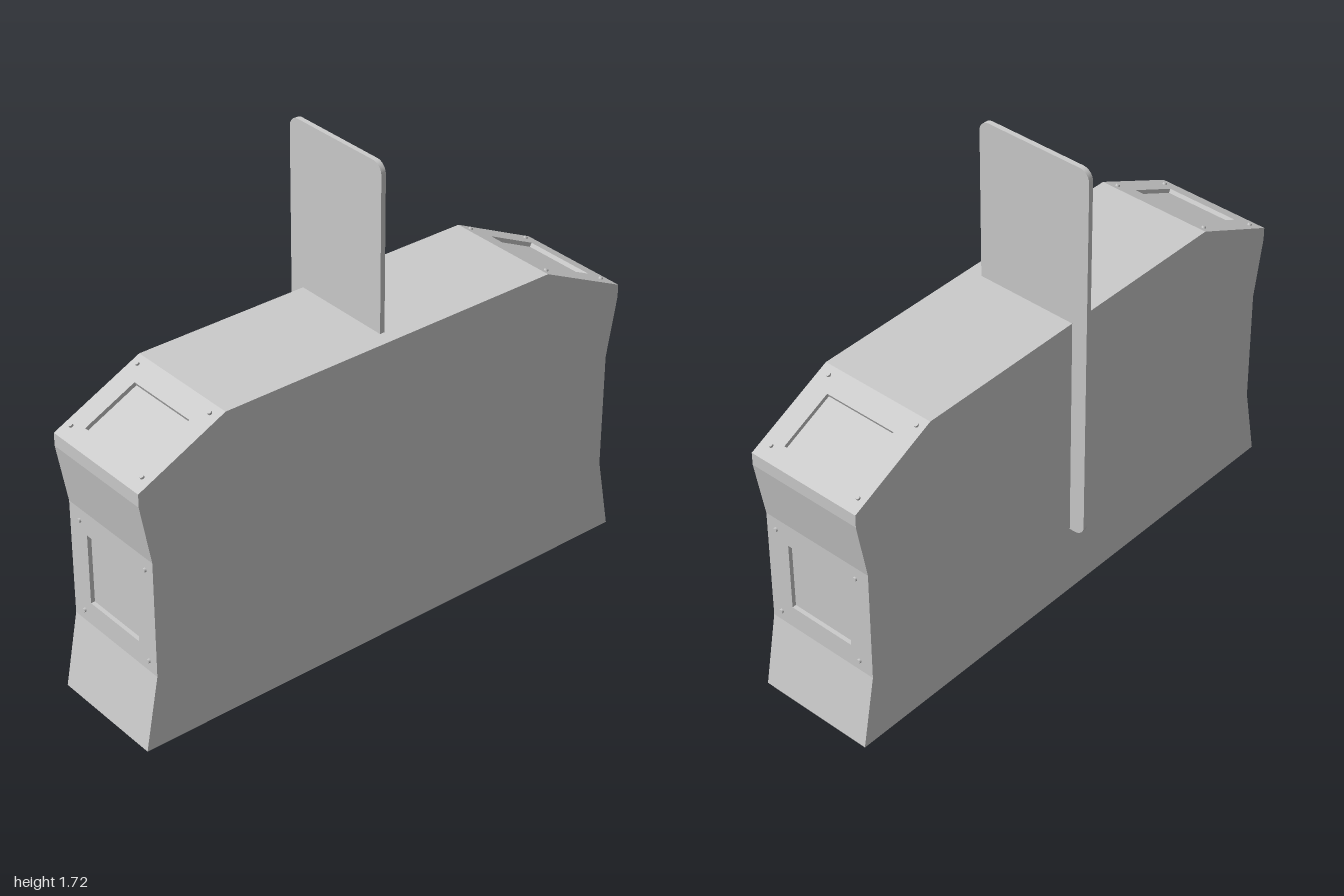
import * as THREE from 'three';

const FRONT = 0.25, BACK = -0.19, RECESS = 0.015;
const material = new THREE.MeshStandardMaterial({ color: 0xcccccc });

function addMesh(parent, name, geometry) {
  const mesh = new THREE.Mesh(geometry, material);
  mesh.name = name;
  parent.add(mesh);
  return mesh;
}

function rectangle(target, x0, y0, x1, y1) {
  target.moveTo(x0, y0).lineTo(x1, y0).lineTo(x1, y1).lineTo(x0, y1).closePath();
  return target;
}

// One wall of the casing between two outline points: local x runs along
// the outline, local y along depth, local z points outwards.
function makeWall(name, a, b, panel, mirrored) {
  const wall = new THREE.Group();
  wall.name = name;
  const length = a.distanceTo(b);
  const dx = (b.x - a.x) / length, dy = (b.y - a.y) / length;
  const shape = rectangle(new THREE.Shape(), 0, BACK, length, FRONT);

  if (panel) {
    const along = (s) => (mirrored ? length - s : s);
    const [s0, s1] = panel.hole.map(along).sort((p, q) => p - q);
    const [z0, z1] = panel.depth;
    shape.holes.push(rectangle(new THREE.Path(), s0, z0, s1, z1));

    // Recessed floor and its four rim walls
    const w = s1 - s0, h = z1 - z0, cx = (s0 + s1) / 2, cz = (z0 + z1) / 2;
    addMesh(wall, 'panelFloor', new THREE.PlaneGeometry(w, h)).position.set(cx, cz, -RECESS);
    for (const side of [-1, 1]) {
      const end = addMesh(wall, 'panelRim', new THREE.PlaneGeometry(RECESS, h));
      end.rotation.y = -side * Math.PI / 2;
      end.position.set(cx + side * w / 2, cz, -RECESS / 2);
      const edge = addMesh(wall, 'panelRim', new THREE.PlaneGeometry(w, RECESS));
      edge.rotation.x = side * Math.PI / 2;
      edge.position.set(cx, cz + side * h / 2, -RECESS / 2);
    }

    // Corner screws
    for (const s of panel.screwAlong) for (const z of panel.screwDepth) {
      const screw = addMesh(wall, 'screw', new THREE.CylinderGeometry(0.007, 0.008, 0.014, 12));
      screw.rotation.x = Math.PI / 2;
      screw.position.set(along(s), z, 0);
    }
  }

  addMesh(wall, 'wallFace', new THREE.ShapeGeometry(shape));
  const matrix = new THREE.Matrix4().makeBasis(
    new THREE.Vector3(dx, dy, 0),
    new THREE.Vector3(0, 0, 1),
    new THREE.Vector3(dy, -dx, 0),
  );
  matrix.setPosition(a.x, a.y, 0);
  wall.applyMatrix4(matrix);
  return wall;
}

function makeCasing() {
  const casing = new THREE.Group();
  casing.name = 'casing';

  // Left half outline from the base up, mirrored for the right half
  const half = [[1, 0], [0.95, 0.27], [0.95, 0.7], [0.99, 0.92], [0.99, 0.967], [0.66, 1.125]];
  const outline = [...half, ...half.map(([x, y]) => [-x, y]).reverse()]
    .map(([x, y]) => new THREE.Vector2(x, y));

  // Front and back faces
  const face = new THREE.ShapeGeometry(new THREE.Shape(outline));
  addMesh(casing, 'frontFace', face).position.z = FRONT;
  const backFace = addMesh(casing, 'backFace', face);
  backFace.rotation.y = Math.PI;
  backFace.position.z = BACK;

  // Perimeter walls, four of them carrying recessed panels
  const sidePanel = {
    hole: [0.085, 0.345], depth: [-0.1, 0.16],
    screwAlong: [0.04, 0.385], screwDepth: [-0.135, 0.21],
  };
  const slopePanel = {
    hole: [0.07, 0.28], depth: [-0.11, 0.17],
    screwAlong: [0.05, 0.334], screwDepth: [-0.16, 0.21],
  };
  const panels = { 1: sidePanel, 4: slopePanel, 6: slopePanel, 9: sidePanel };
  const names = ['lowerFlare', 'sideWall', 'upperFlare', 'shoulder', 'slopedTop', 'top',
    'slopedTop', 'shoulder', 'upperFlare', 'sideWall', 'lowerFlare', 'base'];
  outline.forEach((point, i) => {
    const next = outline[(i + 1) % outline.length];
    casing.add(makeWall(names[i], point, next, panels[i], i > 5));
  });
  return casing;
}

// Thin upright plate with rounded corners, standing across the casing
function makeFin() {
  const z0 = -0.25, z1 = 0.195, y0 = 0.27, y1 = 1.72, r = 0.04, thickness = 0.018;
  const shape = new THREE.Shape();
  shape.absarc(z1 - r, y0 + r, r, -Math.PI / 2, 0);
  shape.absarc(z1 - r, y1 - r, r, 0, Math.PI / 2);
  shape.absarc(z0 + r, y1 - r, r, Math.PI / 2, Math.PI);
  shape.absarc(z0 + r, y0 + r, r, Math.PI, Math.PI * 1.5);
  const geometry = new THREE.ExtrudeGeometry(shape, { depth: thickness, bevelEnabled: false, curveSegments: 8 });
  geometry.translate(0, 0, -thickness / 2);
  geometry.rotateY(-Math.PI / 2);
  return geometry;
}

export function createModel() {
  const model = new THREE.Group();
  model.name = 'panelledCasing';
  model.add(makeCasing());
  addMesh(model, 'fin', makeFin());
  return model;
}
